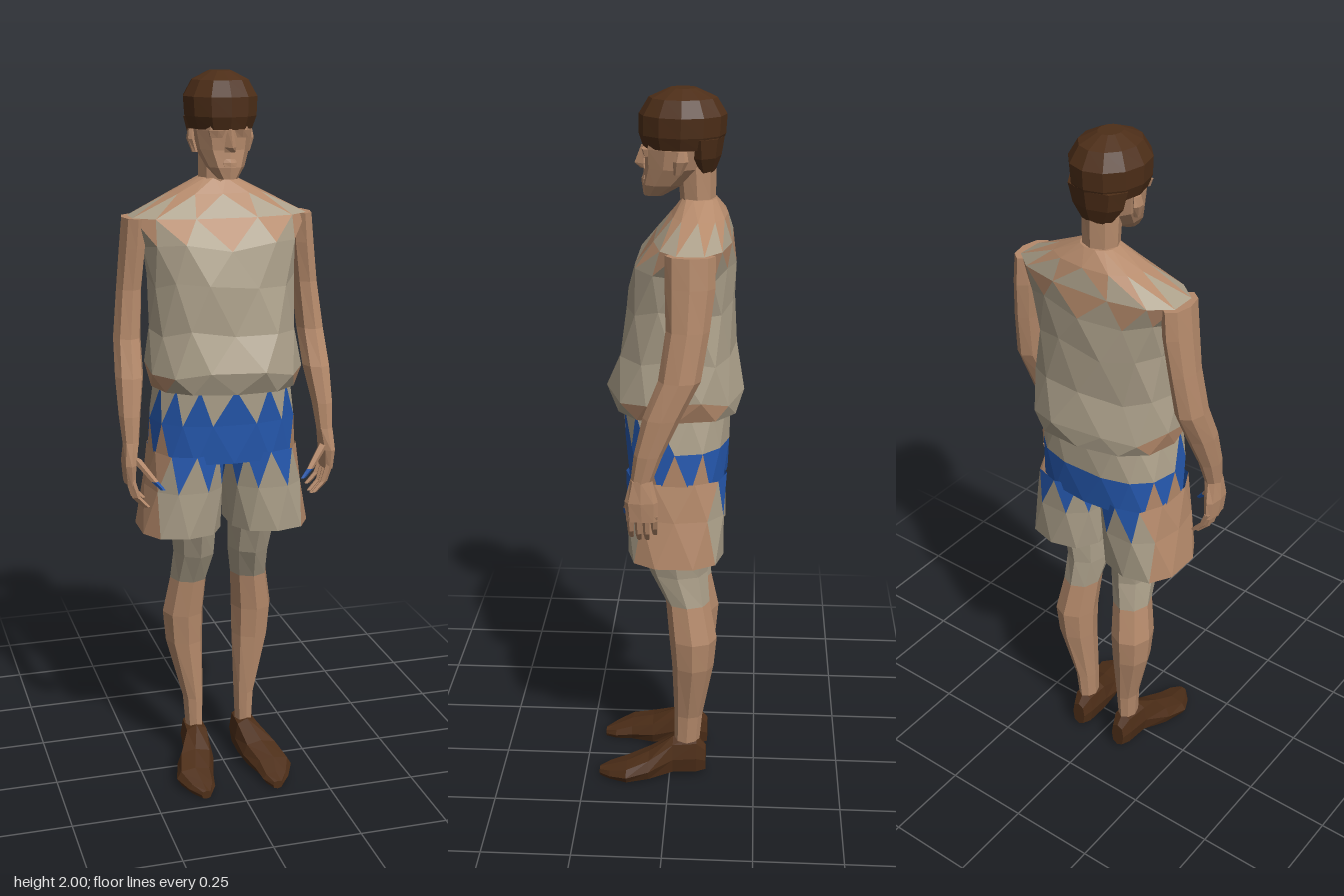
import * as THREE from 'three';

const mat = (color) => new THREE.MeshStandardMaterial({ color, flatShading: true, side: THREE.DoubleSide });
const SKIN = 0, CLOTH = 1, BLUE = 2, HAIR = 3;

// Skin a row of rounded-square rings [x, y, z, rx, r2], ordered along +y (or +z for axis 'z').
// paint(centre, row, half) gives the palette index; half 0 points up, half 1 points down.
function loft(name, rings, palette, { n = 8, p = 1, axis = 'y', stagger = 0, paint = SKIN, caps = [1, 1], warp } = {}) {
  const pos = [], faces = palette.map(() => []);
  const pow = (t) => Math.sign(t) * Math.abs(t) ** p;
  rings.forEach(([x, y, z, rx, r2], i) => {
    for (let k = 0; k < n; k++) {
      const a = ((k + i * stagger) / n) * Math.PI * 2;
      const c = pow(Math.cos(a)), s = pow(Math.sin(a));
      const v = axis === 'y'
        ? new THREE.Vector3(x + rx * s, y, z + r2 * c)
        : new THREE.Vector3(x + rx * c, y + r2 * s, z);
      if (warp) warp(v, k, i);
      pos.push(v);
    }
  });
  const add = (a, b, c, row, half) => {
    const mid = pos[a].clone().add(pos[b]).add(pos[c]).divideScalar(3);
    faces[typeof paint === 'function' ? paint(mid, row, half) : paint].push(a, b, c);
  };
  const last = rings.length - 1;
  for (let i = 0; i < last; i++) {
    for (let k = 0; k < n; k++) {
      const a = i * n + k, b = i * n + (k + 1) % n, d = a + n, c = b + n;
      add(a, b, d, i, 0);
      add(b, c, d, i, 1);
    }
  }
  for (let k = 1; k < n - 1; k++) {
    if (caps[0]) add(0, k + 1, k, 0, 0);
    if (caps[1]) add(last * n, last * n + k, last * n + k + 1, last - 1, 1);
  }
  const geo = new THREE.BufferGeometry().setFromPoints(pos);
  geo.setIndex(faces.flat());
  let start = 0;
  faces.forEach((f, m) => {
    if (f.length) geo.addGroup(start, f.length, m);
    start += f.length;
  });
  geo.computeVertexNormals();
  const mesh = new THREE.Mesh(geo, palette);
  mesh.name = name;
  return mesh;
}

export function createModel() {
  const model = new THREE.Group();
  model.name = 'standingMan';
  const palette = [mat(0xb58a6b), mat(0xaca08a), mat(0x2558ae), mat(0x4d2e18)];
  const part = (parent, name, rings, opts) => parent.add(loft(name, rings, palette, opts));

  // Sleeveless shirt with a toothed neckline and a loose, uneven hem
  part(model, 'shirt', [
    [0, 1.16, -0.02, 0.2, 0.165], [0, 1.21, -0.015, 0.215, 0.178], [0, 1.32, -0.02, 0.205, 0.152],
    [0, 1.45, -0.025, 0.2, 0.147], [0, 1.55, -0.035, 0.215, 0.135], [0, 1.62, -0.06, 0.25, 0.105],
    [0, 1.68, -0.075, 0.13, 0.075], [0, 1.72, -0.075, 0.05, 0.045],
  ], {
    n: 12, p: 0.8, stagger: 0.5,
    paint: (m, row, half) => {
      if (row === 0 && Math.abs(m.x) > 0.17) return SKIN;
      return row > 5 || (row >= 4 && half === 1) ? SKIN : CLOTH;
    },
    warp: (v, k, i) => {
      if (i < 3) v.z *= 1 + 0.6 * v.x;
      if (i > 0 && i < 5) { v.y += 0.012 * Math.sin(k * 2.3 + i * 1.7); v.z += 0.006 * Math.sin(k * 3.1 + i); }
    },
  });

  // Shorts: waist and seat with an upward-toothed blue band
  part(model, 'shortsWaist', [
    [0, 0.96, -0.02, 0.208, 0.138], [0, 1.07, -0.02, 0.205, 0.145], [0, 1.17, -0.015, 0.188, 0.148],
  ], {
    n: 14, p: 0.8, stagger: 0.5,
    paint: (m, row, half) => {
      if (row === 0) return Math.abs(m.x) > 0.17 && half === 0 ? SKIN : BLUE;
      return half === 0 && m.z > 0 ? BLUE : CLOTH;
    },
  });

  // Neck, head and hair
  const head = new THREE.Group();
  head.name = 'head';
  model.add(head);
  part(head, 'neck', [[0, 1.66, -0.08, 0.065, 0.055], [0, 1.72, -0.07, 0.05, 0.047], [0, 1.82, -0.065, 0.052, 0.052]]);
  part(head, 'face', [
    [0, 1.725, 0.045, 0.026, 0.028], [0, 1.755, 0.02, 0.05, 0.057], [0, 1.8, -0.01, 0.07, 0.081],
    [0, 1.85, -0.02, 0.079, 0.094], [0, 1.92, -0.025, 0.08, 0.095],
  ], { n: 10, p: 0.9 });
  part(head, 'nose', [[0, 1.795, 0.07, 0.015, 0.012], [0, 1.808, 0.072, 0.016, 0.024], [0, 1.855, 0.068, 0.008, 0.01]], { n: 4 });
  part(head, 'lips', [[0, 1.757, 0.068, 0.018, 0.01], [0, 1.768, 0.064, 0.022, 0.014], [0, 1.778, 0.066, 0.015, 0.008]], { n: 6 });
  part(head, 'hair', [
    [0, 1.852, -0.026, 0.084, 0.1], [0, 1.885, -0.028, 0.097, 0.113], [0, 1.935, -0.03, 0.1, 0.114],
    [0, 1.977, -0.03, 0.076, 0.088], [0, 2, -0.03, 0.03, 0.036],
  ], { n: 12, paint: HAIR });
  part(head, 'napeHair', [[0, 1.79, -0.085, 0.045, 0.03], [0, 1.83, -0.08, 0.075, 0.05], [0, 1.88, -0.08, 0.088, 0.058]], { paint: HAIR });

  for (const s of [1, -1]) {
    const side = s > 0 ? 'left' : 'right';
    const mirror = (rings) => rings.map(([x, ...r]) => [x * s, ...r]);
    const limb = new THREE.Group();
    limb.name = side + 'Limbs';
    model.add(limb);

    part(head, side + 'Ear', mirror([[0.072, 1.79, -0.02, 0.008, 0.01], [0.082, 1.825, -0.028, 0.01, 0.02], [0.08, 1.85, -0.03, 0.008, 0.014]]), { n: 6 });
    part(head, side + 'Brow', mirror([[0.034, 1.832, 0.062, 0.02, 0.007], [0.034, 1.852, 0.064, 0.026, 0.012]]), { n: 6 });

    // Arm, bent slightly forward at the elbow
    part(limb, side + 'Arm', mirror([
      [0.277, 1.02, 0.065, 0.022, 0.028], [0.275, 1.1, 0.045, 0.03, 0.038], [0.267, 1.2, 0.01, 0.039, 0.05],
      [0.262, 1.3, -0.035, 0.038, 0.055], [0.25, 1.43, -0.055, 0.035, 0.056], [0.238, 1.54, -0.06, 0.036, 0.064],
      [0.232, 1.62, -0.06, 0.034, 0.064],
    ]));

    // Hand with curled fingers and thumb
    part(limb, side + 'Palm', mirror([
      [0.283, 0.915, 0.062, 0.014, 0.042], [0.284, 0.97, 0.064, 0.019, 0.044], [0.277, 1.03, 0.064, 0.022, 0.029],
    ]), { p: 0.8 });
    for (let f = 0; f < 4; f++) {
      const z = 0.03 + f * 0.021, drop = [0.015, 0, 0, 0.008][f];
      part(limb, side + 'Finger' + (f + 1), mirror([
        [0.24, 0.842 + drop, z, 0.008, 0.007], [0.268, 0.872 + drop, z, 0.01, 0.009], [0.284, 0.93, z, 0.011, 0.011],
      ]), { n: 5 });
    }
    part(limb, side + 'Thumb', mirror([
      [0.2, 0.9, 0.113, 0.007, 0.005], [0.222, 0.925, 0.108, 0.01, 0.009], [0.268, 0.985, 0.085, 0.014, 0.013],
    ]), { n: 5, paint: (m, row) => (row === 0 ? BLUE : SKIN) });

    // Flared leg of the shorts with downward blue teeth
    part(limb, side + 'ShortsLeg', mirror([
      [0.128, 0.75, -0.02, 0.116, 0.132], [0.114, 0.88, -0.02, 0.109, 0.136], [0.105, 0.985, -0.02, 0.102, 0.138],
    ]), {
      n: 10, p: 0.8, stagger: 0.5, caps: [0, 0],
      paint: (m, row, half) => {
        if (Math.abs(m.x) > 0.16 && Math.abs(m.z + 0.02) < 0.09) return SKIN;
        return row === 1 && half === 1 ? BLUE : CLOTH;
      },
    });

    // Bare leg, in cloth above the knee
    part(limb, side + 'Leg', mirror([
      [0.076, 0.1, -0.05, 0.025, 0.037], [0.078, 0.2, -0.055, 0.03, 0.041], [0.1, 0.38, -0.068, 0.055, 0.06],
      [0.103, 0.47, -0.068, 0.06, 0.068], [0.09, 0.58, -0.052, 0.054, 0.062], [0.08, 0.67, -0.025, 0.06, 0.082],
      [0.085, 0.77, -0.012, 0.067, 0.105], [0.1, 0.92, -0.015, 0.085, 0.11],
    ]), { paint: (m, row) => (row > 3 ? CLOTH : SKIN) });

    // Shoe, toe turned slightly outward
    part(limb, side + 'Shoe', mirror([
      [0.076, 0.05, -0.107, 0.022, 0.042], [0.076, 0.062, -0.08, 0.034, 0.062], [0.078, 0.06, -0.01, 0.038, 0.06],
      [0.1, 0.04, 0.06, 0.055, 0.04], [0.118, 0.028, 0.125, 0.054, 0.028], [0.11, 0.018, 0.175, 0.038, 0.018],
      [0.106, 0.012, 0.207, 0.014, 0.012],
    ]), { axis: 'z', p: 0.75, paint: HAIR });
  }
  return model;
}
